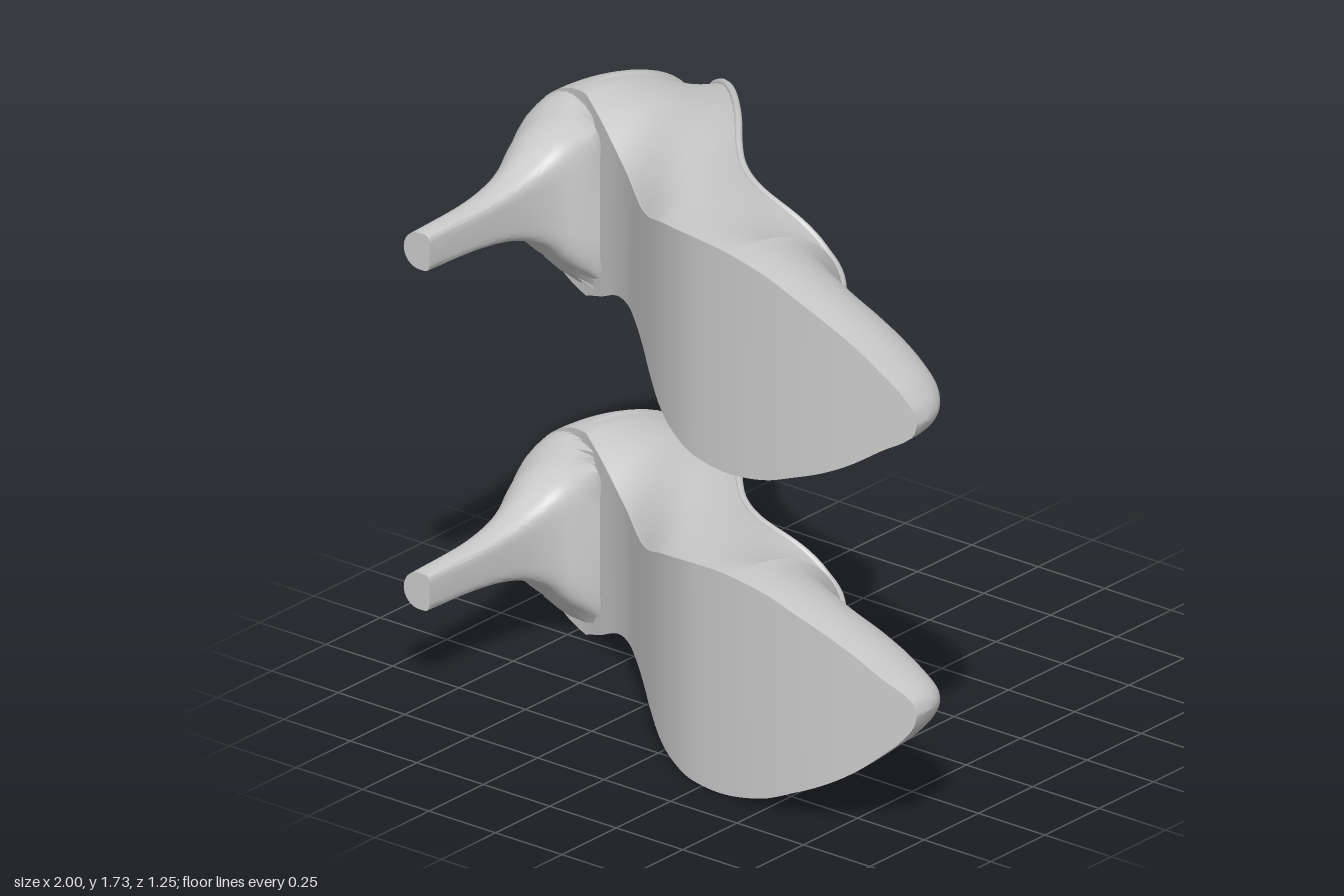
import * as THREE from 'three';
import { toCreasedNormals } from 'three/addons/utils/BufferGeometryUtils.js';

// Smooth function through [x, value] points (cubic Hermite)
function through(...p) {
  const slope = (i) => {
    const a = p[Math.max(i - 1, 0)], b = p[Math.min(i + 1, p.length - 1)];
    return (b[1] - a[1]) / (b[0] - a[0]);
  };
  return (x) => {
    if (x <= p[0][0]) return p[0][1];
    if (x >= p[p.length - 1][0]) return p[p.length - 1][1];
    let i = 0;
    while (x > p[i + 1][0]) i++;
    const d = p[i + 1][0] - p[i][0], t = (x - p[i][0]) / d, s = 1 - t;
    return p[i][1] * (1 + 2 * t) * s * s + p[i + 1][1] * t * t * (3 - 2 * t)
      + d * (slope(i) * t * s * s - slope(i + 1) * t * t * s);
  };
}

// The shoes lie on their sides: toe to +x, sole to +z, width along y
const OPEN_BACK = -0.75, OPEN_FRONT = 0.352, MIRROR = 1.744;
const centre = through([-1, 0.33], [-0.5, 0.335], [0, 0.345], [0.35, 0.36], [0.7, 0.375], [0.9, 0.388], [1, 0.41]);
const soleZ = through([-1, -0.09], [-0.9, -0.085], [-0.8, -0.06], [-0.7, -0.025], [-0.6, 0.025], [-0.5, 0.078],
  [-0.4, 0.148], [-0.3, 0.235], [-0.2, 0.325], [-0.1, 0.413], [0, 0.49], [0.1, 0.55], [0.2, 0.59], [0.35, 0.615],
  [0.5, 0.62], [0.7, 0.605], [0.85, 0.573], [1, 0.53]);
const soleTable = through([-0.7, 0.32], [-0.6, 0.278], [-0.5, 0.228], [-0.4, 0.205], [-0.3, 0.202], [-0.2, 0.215],
  [-0.1, 0.25], [0, 0.295], [0.1, 0.325], [0.2, 0.345], [0.35, 0.35], [0.5, 0.325], [0.6, 0.287], [0.7, 0.245],
  [0.8, 0.19], [0.9, 0.117], [0.95, 0.08], [0.98, 0.05], [0.993, 0.03], [1, 0]);
const soleW = (x) => x < -0.69 ? 0.32 * Math.sqrt(Math.max(0, 1 - ((x + 0.69) / 0.31) ** 2)) : soleTable(x);
const bulge = through([-0.72, 0.32], [-0.5, 0.305], [-0.25, 0.318], [0, 0.34], [0.2, 0.35], [0.35, 0.35]);
// Ridge of the upper, and the opening's edge between back and vamp
const topZ = through([-1, -0.12], [-0.99, -0.25], [-0.96, -0.345], [-0.92, -0.425], [-0.85, -0.53], [-0.79, -0.595],
  [-0.75, -0.615], [-0.7, -0.597], [-0.6, -0.53], [-0.5, -0.445], [-0.4, -0.345], [-0.3, -0.235], [-0.2, -0.115],
  [-0.1, -0.01], [0, 0.06], [0.1, 0.098], [0.2, 0.106], [0.3, 0.092], [0.35, 0.075], [0.37, 0.12], [0.4, 0.155],
  [0.5, 0.21], [0.6, 0.24], [0.7, 0.26], [0.8, 0.285], [0.9, 0.325], [0.95, 0.365], [0.985, 0.42], [1, 0.48]);
const openW = through([OPEN_BACK, 0], [-0.745, 0.05], [-0.73, 0.09], [-0.7, 0.14], [-0.65, 0.185], [-0.56, 0.23],
  [-0.45, 0.262], [-0.3, 0.285], [-0.1, 0.277], [0.1, 0.262], [0.2, 0.235], [0.27, 0.19], [0.32, 0.13],
  [0.345, 0.065], [OPEN_FRONT, 0]);
// Heel outline by height
const heelBack = through([-0.1, -1], [-0.05, -0.997], [0.03, -0.968], [0.12, -0.93], [0.2, -0.907], [0.35, -0.885], [0.605, -0.872]);
const heelFront = through([-0.1, -0.5], [0, -0.56], [0.03, -0.62], [0.05, -0.68], [0.1, -0.72], [0.2, -0.75], [0.4, -0.768], [0.605, -0.775]);
const heelW = through([-0.1, 0.318], [-0.03, 0.285], [0.03, 0.215], [0.1, 0.145], [0.2, 0.095], [0.35, 0.068], [0.605, 0.058]);

const ease = (a, b, n) => Array.from({ length: n + 1 }, (_, k) => a + (b - a) * (1 - Math.cos(Math.PI * k / n)) / 2);
const stations = [...ease(-1, OPEN_BACK, 18), ...ease(OPEN_BACK, OPEN_FRONT, 56).slice(1), ...ease(OPEN_FRONT, 1, 30).slice(1)];

// Skin rows of [x, y, z] points; skip leaves out one strip
function loft(rows, { closed = false, skip = -1, flip = false, crease = 0.7 } = {}) {
  const n = rows[0].length, index = [];
  for (let i = 0; i < rows.length - 1; i++) {
    for (let j = 0; j < (closed ? n : n - 1); j++) {
      if (j === skip) continue;
      const k = (j + 1) % n, a = i * n + j, b = a + n, c = i * n + k, d = c + n;
      index.push(...(flip ? [a, c, b, b, c, d] : [a, b, c, b, d, c]));
    }
  }
  const g = new THREE.BufferGeometry();
  g.setAttribute('position', new THREE.Float32BufferAttribute(rows.flat(2), 3));
  g.setIndex(index);
  return toCreasedNormals(g, crease);
}

// Half cross-section of the upper, from sole edge to ridge or opening
function halfSection(x, n) {
  const w = soleW(x), z = soleZ(x), top = topZ(x), r = openW(x);
  const open = Math.min(1, r / 0.27), h = top - z;
  const out = x > -0.72 && x < OPEN_FRONT ? Math.max(bulge(x), w) : w;
  const curve = new THREE.CubicBezierCurve(
    new THREE.Vector2(w, z),
    new THREE.Vector2(out + 0.35 * (out - w), z + h * THREE.MathUtils.lerp(0.6, 0.35, open)),
    new THREE.Vector2(THREE.MathUtils.lerp(0.58 * w, r + 0.04, open), z + h * THREE.MathUtils.lerp(1, 0.7, open)),
    new THREE.Vector2(r, top));
  return curve.getPoints(n);
}

function createShoe(name, flip) {
  const shoe = new THREE.Group();
  shoe.name = name;
  const material = new THREE.MeshStandardMaterial({ color: 0xcccccc, side: THREE.DoubleSide });
  const at = (x, w, z) => {
    const y = centre(x) + w;
    return [x, flip ? MIRROR - y : y, z];
  };
  const add = (part, geometry) => {
    const mesh = new THREE.Mesh(geometry, material);
    mesh.name = part;
    shoe.add(mesh);
  };

  // Upper: arched sections, parted along the opening
  const n = 16;
  add('upper', loft(stations.map((x) => {
    const half = halfSection(x, n);
    return [...half.map((p) => at(x, p.x, p.y)), ...half.reverse().map((p) => at(x, -p.x, p.y))];
  }), { skip: n, flip, crease: 1 }));

  // Sole slab: outsole below, footbed above
  add('sole', loft(stations.map((x) => {
    const w = soleW(x), z = soleZ(x);
    return [at(x, w * 0.985, z - 0.02), at(x, -w * 0.985, z - 0.02), at(x, -w, z + 0.003), at(x, w, z + 0.003)];
  }), { closed: true, flip }));

  // Binding around the opening
  const edge = ease(OPEN_BACK, OPEN_FRONT, 36);
  const loop = [...edge.map((x) => at(x, openW(x), topZ(x))),
    ...edge.slice(1, -1).reverse().map((x) => at(x, -openW(x), topZ(x)))];
  const path = new THREE.CatmullRomCurve3(loop.map((p) => new THREE.Vector3(...p)), true);
  add('topBinding', new THREE.TubeGeometry(path, 160, 0.012, 8, true));

  // Heel: D-shaped rings, trimmed against the sole
  const rings = [];
  for (let k = 0; k <= 40; k++) {
    const z = -0.1 + 0.705 * k / 40, back = heelBack(z), front = heelFront(z), hw = heelW(z);
    const mid = THREE.MathUtils.lerp(back, front, 0.6), ring = [];
    for (let j = 0; j < 40; j++) {
      const a = -Math.PI * 2 * j / 40, c = Math.cos(a), s = Math.sin(a);
      const x = c > 0 ? mid + (front - mid) * c ** 0.4 : mid + (mid - back) * c;
      const w = hw * Math.sign(s) * (c > 0 ? Math.abs(s) ** 0.4 : Math.abs(s));
      const limit = soleW(x);
      ring.push(at(x, THREE.MathUtils.clamp(w, -limit, limit), Math.max(z, soleZ(x) - 0.002)));
    }
    rings.push(ring);
  }
  rings.push(rings[40].map(() => at(-0.82, 0, 0.605)));
  add('heel', loft(rings, { closed: true, flip }));
  return shoe;
}

export function createModel() {
  const pair = new THREE.Group();
  pair.name = 'pairOfShoes';
  pair.add(createShoe('lowerShoe', false), createShoe('upperShoe', true));
  return pair;
}
